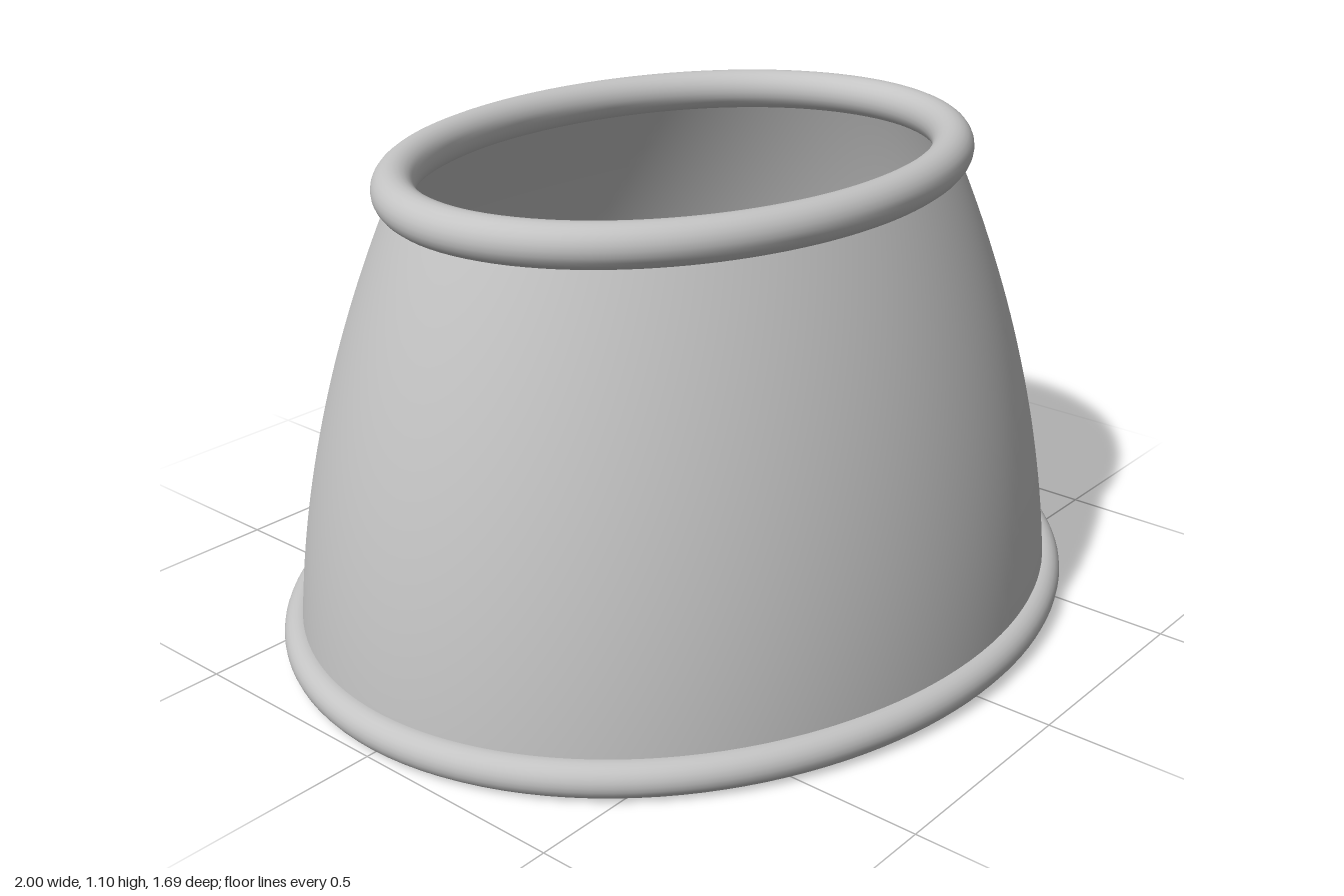
import * as THREE from 'three';
import { ParametricGeometry } from 'three/addons/geometries/ParametricGeometry.js';

// Oval path lying flat at height y
class Oval extends THREE.Curve {
  constructor(rx, rz, y) {
    super();
    Object.assign(this, { rx, rz, y });
  }
  getPoint(t, target = new THREE.Vector3()) {
    const a = t * Math.PI * 2;
    return target.set(this.rx * Math.cos(a), this.y, -this.rz * Math.sin(a));
  }
}

export function createModel() {
  const group = new THREE.Group();
  const grey = new THREE.MeshStandardMaterial({ color: 0xc4c4c4, side: THREE.DoubleSide });
  grey.name = 'light grey';

  const bottom = { rx: 0.96, rz: 0.805, y: 0.04, tube: 0.04 };
  const top = { rx: 0.71, rz: 0.53, y: 1.052, tube: 0.047 };

  const add = (name, geometry) => {
    const mesh = new THREE.Mesh(geometry, grey);
    mesh.name = name;
    group.add(mesh);
  };

  // Open oval wall, curving inwards as it rises
  add('wall', new ParametricGeometry((u, v, target) => {
    const a = u * Math.PI * 2;
    const f = 0.25 * v + 0.75 * v * v;
    target.set(
      THREE.MathUtils.lerp(bottom.rx, top.rx, f) * Math.cos(a),
      THREE.MathUtils.lerp(bottom.y, top.y, v),
      -THREE.MathUtils.lerp(bottom.rz, top.rz, f) * Math.sin(a)
    );
  }, 128, 32));

  // Rounded rims around both openings
  for (const [name, r] of [['bottomRim', bottom], ['topRim', top]]) {
    add(name, new THREE.TubeGeometry(new Oval(r.rx, r.rz, r.y), 128, r.tube, 24, true));
  }

  return group;
}
